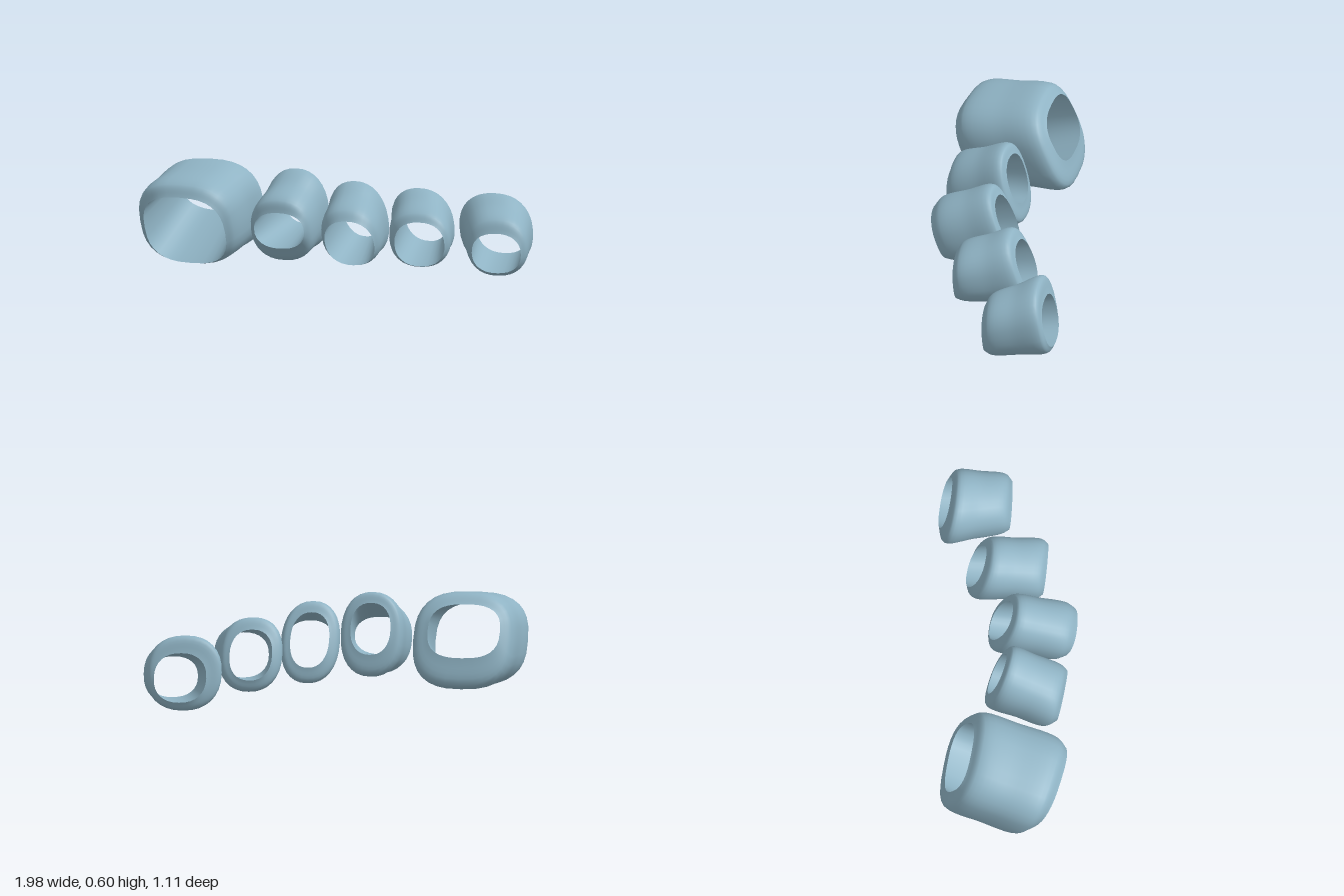
import * as THREE from 'three';

const SEGMENTS = 32;

// Closed rounded loop: centre, half sizes, then z slope along x and along y
function loop([cx, cy, cz, rx, ry, sx, sy], power) {
  const soft = (v) => Math.sign(v) * Math.abs(v) ** (2 / power);
  return Array.from({ length: SEGMENTS }, (_, i) => {
    const a = (i / SEGMENTS) * Math.PI * 2;
    const dx = rx * soft(Math.cos(a)), dy = ry * soft(Math.sin(a));
    return new THREE.Vector3(cx + dx, cy + dy, cz + sx * dx + sy * dy);
  });
}

// Smooth skin through a row of loops
function skin(loops, steps) {
  const positions = [], index = [];
  for (let i = 0; i < SEGMENTS; i++) {
    const curve = new THREE.CatmullRomCurve3(loops.map((l) => l[i]), false, 'centripetal');
    for (let j = 0; j <= steps; j++) positions.push(...curve.getPoint(j / steps).toArray());
  }
  const at = (i, j) => (i % SEGMENTS) * (steps + 1) + j;
  for (let i = 0; i < SEGMENTS; i++) {
    for (let j = 0; j < steps; j++) {
      const a = at(i, j), b = at(i + 1, j), c = at(i, j + 1), d = at(i + 1, j + 1);
      index.push(a, c, b, b, c, d);
    }
  }
  const geometry = new THREE.BufferGeometry();
  geometry.setAttribute('position', new THREE.Float32BufferAttribute(positions, 3));
  geometry.setIndex(index);
  geometry.computeVertexNormals();
  return geometry;
}

// Hollow finger sleeves, each given by its two openings and two outer shoulders
const SLEEVES = [
  {
    name: 'thumbSleeve', power: 2.7, bulge: 1.03,
    frontHole: [-0.70, 0.262, 0.47, 0.235, 0.193, 0, 0.45],
    frontOuter: [-0.71, 0.29, 0.42, 0.272, 0.228, 0, 0.4],
    backOuter: [-0.705, 0.362, 0.01, 0.262, 0.235, -0.1, 0.45],
    backHole: [-0.715, 0.415, -0.01, 0.195, 0.135, -0.1, 0.5],
  },
  {
    name: 'indexSleeve', power: 2.3, bulge: 1.02,
    frontHole: [-0.175, 0.285, 0.41, 0.14, 0.1, -0.1, 0.15],
    frontOuter: [-0.185, 0.28, 0.36, 0.168, 0.17, -0.1, 0.25],
    backOuter: [-0.19, 0.365, 0.065, 0.162, 0.215, -0.02, 0.28],
    backHole: [-0.19, 0.395, 0.05, 0.11, 0.135, 0, 0.3],
  },
  {
    name: 'middleSleeve', power: 2.3, bulge: 1.02,
    frontHole: [0.205, 0.23, 0.335, 0.133, 0.128, -0.2, 0.4],
    frontOuter: [0.19, 0.255, 0.29, 0.153, 0.16, -0.2, 0.35],
    backOuter: [0.13, 0.32, 0, 0.148, 0.205, -0.18, 0.4],
    backHole: [0.13, 0.335, -0.02, 0.105, 0.14, -0.1, 0.45],
  },
  {
    name: 'ringSleeve', power: 2.3, bulge: 1.02,
    frontHole: [0.522, 0.21, 0.115, 0.135, 0.122, -0.2, 0.1],
    frontOuter: [0.507, 0.228, 0.08, 0.16, 0.15, -0.2, 0.12],
    backOuter: [0.412, 0.282, -0.21, 0.16, 0.187, -0.18, 0.36],
    backHole: [0.41, 0.285, -0.24, 0.115, 0.13, -0.1, 0.4],
  },
  {
    name: 'littleSleeve', power: 2.3, bulge: 1.02,
    frontHole: [0.85, 0.135, -0.175, 0.13, 0.11, -0.25, 0.1],
    frontOuter: [0.84, 0.16, -0.21, 0.155, 0.155, -0.25, 0.08],
    backOuter: [0.727, 0.22, -0.475, 0.195, 0.195, -0.18, 0.2],
    backHole: [0.745, 0.2, -0.51, 0.14, 0.13, -0.15, 0.25],
  },
];

export function createModel() {
  const model = new THREE.Group();
  model.name = 'fingerSleeves';
  const paleBlue = new THREE.MeshStandardMaterial({ color: 0x8fb3c4 });
  paleBlue.name = 'paleBlue';

  for (const { name, power, bulge, frontHole, frontOuter, backOuter, backHole } of SLEEVES) {
    // Middle section, slightly swollen
    const middle = frontOuter.map((v, k) => ((v + backOuter[k]) / 2) * (k === 3 || k === 4 ? bulge : 1));
    const [front, outerA, outerM, outerB, back] =
      [frontHole, frontOuter, middle, backOuter, backHole].map((s) => loop(s, power));

    const sleeve = new THREE.Group();
    sleeve.name = name;
    const shell = new THREE.Mesh(skin([front, outerA, outerM, outerB, back], 24), paleBlue);
    shell.name = 'outerShell';
    const lining = new THREE.Mesh(skin([back, front], 6), paleBlue);
    lining.name = 'innerLining';
    sleeve.add(shell, lining);
    model.add(sleeve);
  }
  return model;
}
